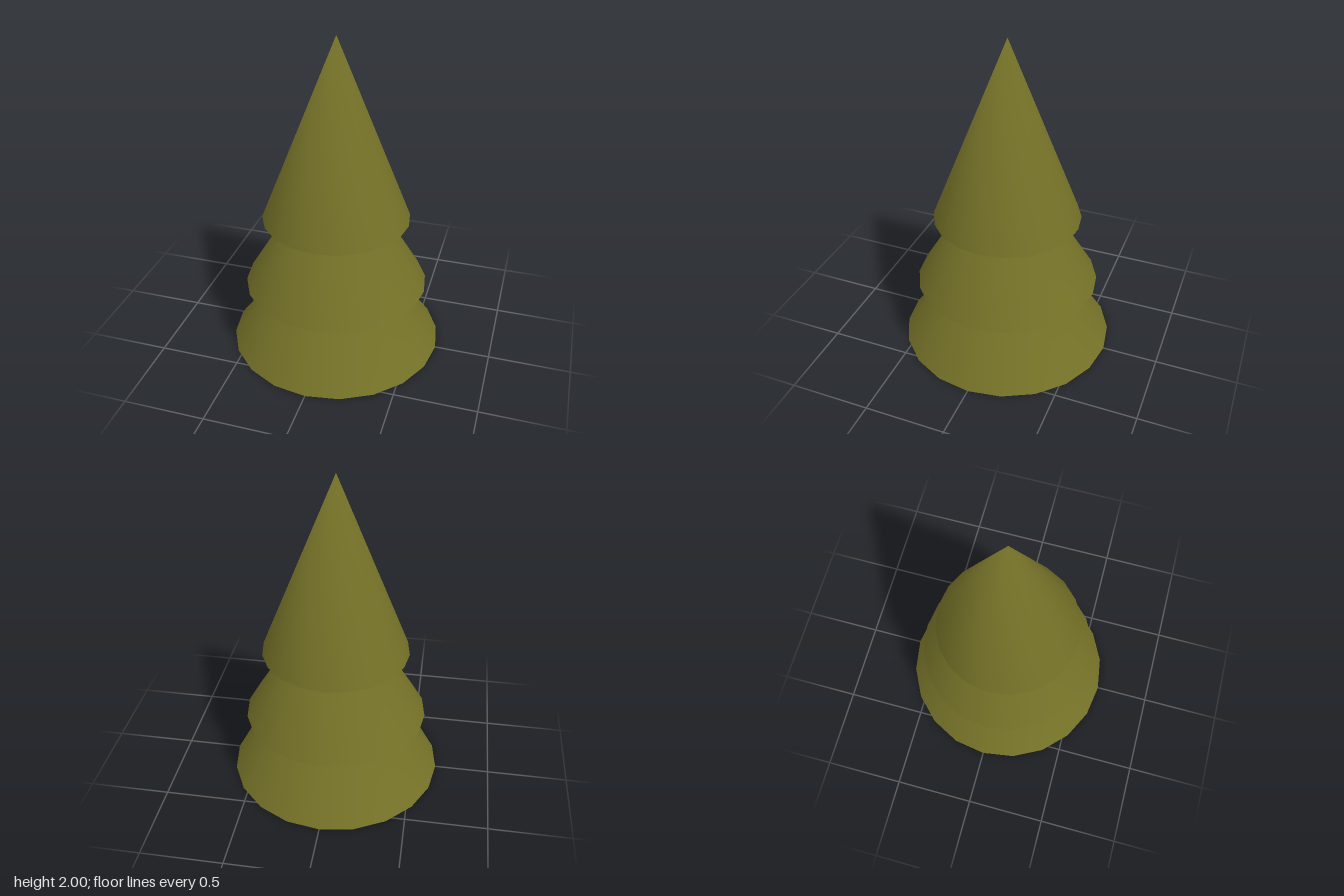
import * as THREE from 'three';
import { mergeVertices } from 'three/addons/utils/BufferGeometryUtils.js';

const SIDES = 20;

// Open, hollow cone whose sides share one tip vertex, so shading is smooth over the tip
function hollowCone(radius, height) {
  const cone = new THREE.ConeGeometry(radius, height, SIDES, 1, true);
  cone.deleteAttribute('normal');
  cone.deleteAttribute('uv');
  const smooth = mergeVertices(cone, 1e-4);
  smooth.computeVertexNormals();
  return smooth.translate(0, height / 2, 0);
}

export function createModel() {
  const tree = new THREE.Group();
  tree.name = 'coniferTree';

  const foliage = new THREE.MeshStandardMaterial({ color: 0x737027, side: THREE.DoubleSide });
  foliage.name = 'oliveFoliage';

  // Three stacked tiers, each tip hidden inside the tier above
  const tiers = [
    { name: 'lowerTier', radius: 0.66, base: 0, tip: 0.87 },
    { name: 'middleTier', radius: 0.565, base: 0.415, tip: 1.35 },
    { name: 'upperTier', radius: 0.45, base: 0.87, tip: 2 },
  ];
  for (const { name, radius, base, tip } of tiers) {
    const tier = new THREE.Mesh(hollowCone(radius, tip - base), foliage);
    tier.name = name;
    tier.position.y = base;
    tree.add(tier);
  }
  return tree;
}
